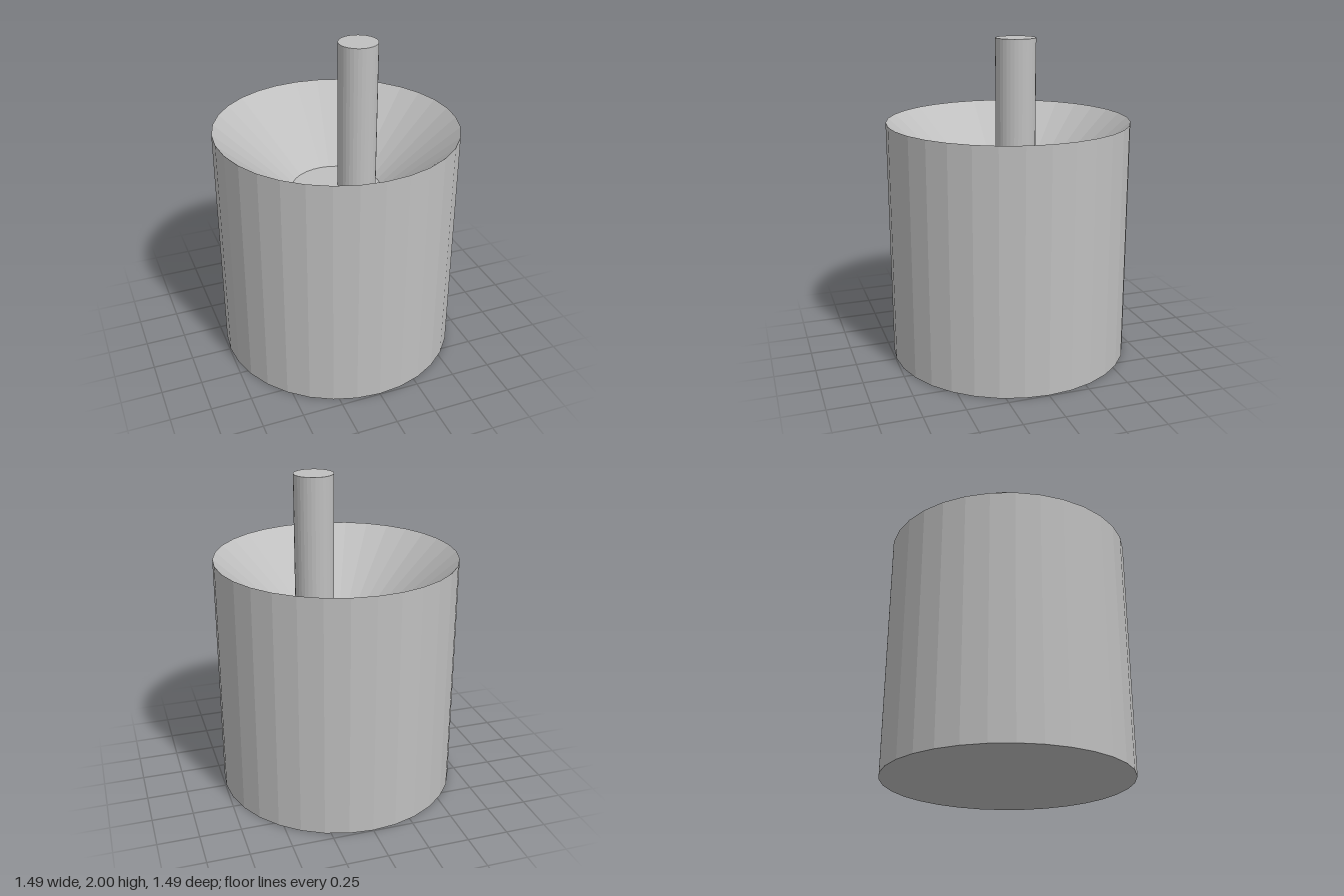
import * as THREE from 'three';

export function createModel() {
  const model = new THREE.Group();
  const grey = new THREE.MeshStandardMaterial({ color: 0xbfbfbf });
  grey.name = 'light grey';

  const SIDES = 32, RADIUS = 0.745, HEIGHT = 1.49;
  const FLOOR_RADIUS = 0.28, FLOOR_Y = 1.07;

  // Lathe with separate faces, so every facet is flat
  const facetedLathe = (name, profile) => {
    const points = profile.map(([r, y]) => new THREE.Vector2(r, y));
    const geometry = new THREE.LatheGeometry(points, SIDES).toNonIndexed();
    geometry.computeVertexNormals();
    const mesh = new THREE.Mesh(geometry, grey);
    mesh.name = name;
    model.add(mesh);
    return mesh;
  };

  // Drum: closed base, straight wall, funnel and flat floor
  facetedLathe('drum', [
    [0, 0], [RADIUS, 0], [RADIUS, HEIGHT],
    [FLOOR_RADIUS, FLOOR_Y], [0, FLOOR_Y],
  ]);

  // Off-centre post standing on the funnel floor
  const post = facetedLathe('post', [[0.12, FLOOR_Y], [0.12, 2], [0, 2]]);
  post.position.x = 0.137;

  return model;
}
